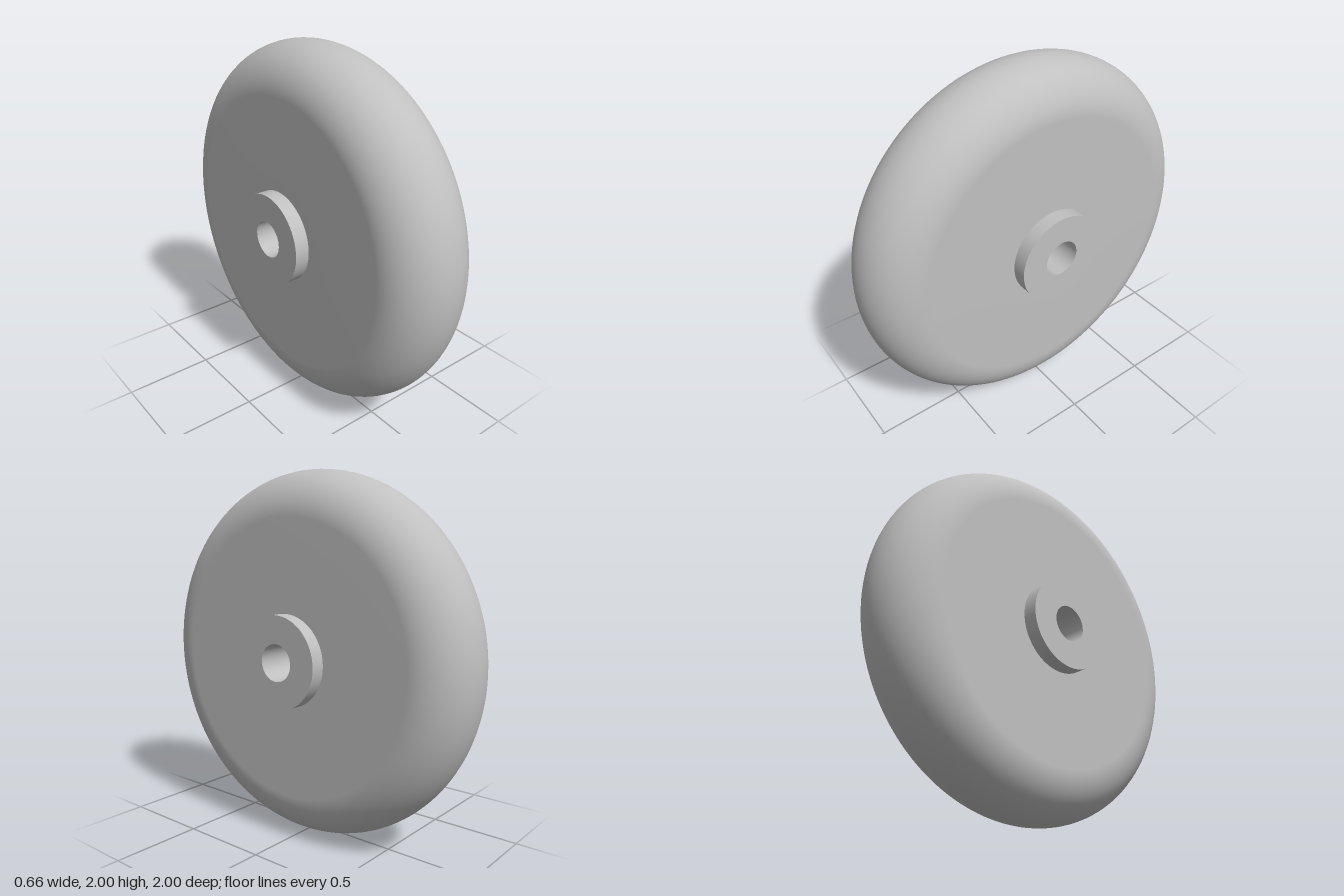
import * as THREE from 'three';

const SEGMENTS = 128;
const HALF_WIDTH = 0.25, RADIUS = 1, HUB_RADIUS = 0.25, HUB_HALF = 0.33, BORE = 0.1;

export function createModel() {
  const model = new THREE.Group();
  model.name = 'wheel';
  const grey = new THREE.MeshStandardMaterial({ color: 0xc0c0c0 });
  grey.name = 'plain grey';

  // Turns a [radius, offset along axle] profile about the x axis
  const turn = (name, profile, parent) => {
    const points = profile.map(([r, a]) => new THREE.Vector2(r, a));
    const geometry = new THREE.LatheGeometry(points, SEGMENTS);
    geometry.rotateZ(-Math.PI / 2);
    const mesh = new THREE.Mesh(geometry, grey);
    mesh.name = name;
    parent.add(mesh);
  };

  // Tyre body: flat sides joined by a full half-round rim
  const body = [[HUB_RADIUS, -HALF_WIDTH]];
  for (let i = 0; i <= 32; i++) {
    const t = -Math.PI / 2 + (Math.PI * i) / 32;
    body.push([RADIUS - HALF_WIDTH + HALF_WIDTH * Math.cos(t), HALF_WIDTH * Math.sin(t)]);
  }
  body.push([HUB_RADIUS, HALF_WIDTH]);
  turn('wheelBody', body, model);

  // Hub boss on each side, with sharp edges
  for (const side of ['left', 'right']) {
    const hub = new THREE.Group();
    hub.name = side + 'Hub';
    turn('hubWall', [[HUB_RADIUS, HALF_WIDTH], [HUB_RADIUS, HUB_HALF]], hub);
    turn('hubFace', [[HUB_RADIUS, HUB_HALF], [BORE, HUB_HALF]], hub);
    if (side === 'right') hub.rotation.y = Math.PI;
    model.add(hub);
  }

  // Axle hole running right through
  turn('axleBore', [[BORE, HUB_HALF], [BORE, -HUB_HALF]], model);

  model.position.y = RADIUS;
  const root = new THREE.Group();
  root.add(model);
  return root;
}
